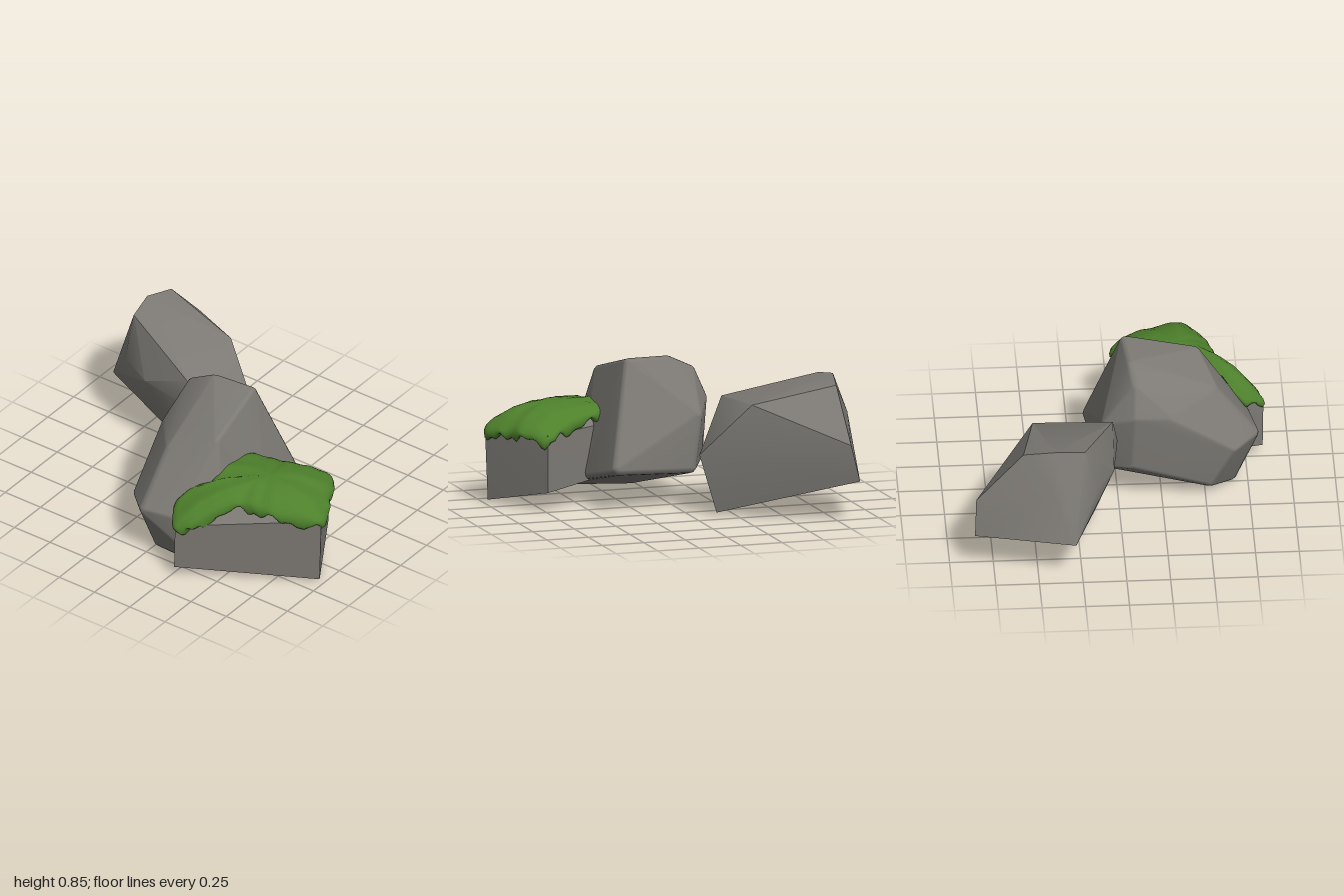
import * as THREE from 'three';
import { mergeVertices, toCreasedNormals } from 'three/addons/utils/BufferGeometryUtils.js';
import { ConvexGeometry } from 'three/addons/geometries/ConvexGeometry.js';

const stone = new THREE.MeshStandardMaterial({ color: 0x7d7a75 });
stone.name = 'stone grey';
const green = new THREE.MeshStandardMaterial({ color: 0x4e812c, side: THREE.DoubleSide });
green.name = 'moss green';

const toVectors = (list) => list.map((p) => new THREE.Vector3(...p));

// Convex boulder with crisp edges, smooth across gentle ones
function sharpRock(name, corners, crease) {
  const geometry = toCreasedNormals(new ConvexGeometry(toVectors(corners)), crease);
  const mesh = new THREE.Mesh(geometry, stone);
  mesh.name = name;
  return mesh;
}

// Convex boulder with worn edges: the hull of a small ball at each corner
function roundedRock(name, corners, radius) {
  const points = toVectors(corners);
  const centre = points.reduce((s, p) => s.add(p), new THREE.Vector3()).divideScalar(points.length);
  const ball = new THREE.IcosahedronGeometry(radius, 1).attributes.position;
  const cloud = [];
  for (const p of points) {
    const inset = centre.clone().sub(p).setLength(radius * 1.25).add(p);
    for (let i = 0; i < ball.count; i++) {
      cloud.push(new THREE.Vector3().fromBufferAttribute(ball, i).add(inset));
    }
  }
  let geometry = new ConvexGeometry(cloud);
  geometry.deleteAttribute('normal');
  geometry = mergeVertices(geometry, 1e-4);
  geometry.computeVertexNormals();
  const mesh = new THREE.Mesh(geometry, stone);
  mesh.name = name;
  return mesh;
}

// Moss blanket: rings from the middle out to an uneven rim that folds under
function mossBlanket() {
  const rim = new THREE.CatmullRomCurve3(toVectors([
    [-0.41, 0.42, 0.99], [-0.29, 0.42, 0.96], [-0.2, 0.44, 0.9], [-0.09, 0.44, 0.85], [0, 0.42, 0.74],
    [-0.06, 0.46, 0.63], [-0.16, 0.5, 0.46], [-0.21, 0.52, 0.34], [-0.4, 0.55, 0.3], [-0.6, 0.51, 0.32],
    [-0.68, 0.46, 0.22], [-0.76, 0.4, 0.2], [-0.86, 0.35, 0.28], [-0.83, 0.36, 0.36], [-0.76, 0.41, 0.43],
    [-0.61, 0.47, 0.56], [-0.58, 0.46, 0.68], [-0.53, 0.44, 0.83],
  ]), true);
  const around = 108;
  const outline = rim.getPoints(around).slice(0, around);
  const middle = new THREE.Vector3(-0.38, 0.56, 0.6);
  // [distance from the middle, drop below the rim]
  const rings = [[0.02, 0], [0.2, 0], [0.4, 0], [0.58, 0], [0.74, 0], [0.86, 0], [0.94, 0],
    [0.985, 0.005], [1, 0.02], [0.99, 0.04], [0.96, 0.055], [0.88, 0.06]];
  const positions = [];
  const index = [];
  rings.forEach(([t, drop], i) => {
    outline.forEach((p, j) => {
      const x = THREE.MathUtils.lerp(middle.x, p.x, t);
      const z = THREE.MathUtils.lerp(middle.z, p.z, t);
      const lump = 0.006 * Math.sin(x * 31 + z * 17) * Math.sin(z * 37 - x * 11) * Math.min(1, t * 2);
      const ragged = drop * (1 + 0.35 * Math.sin(j * 0.62) + 0.25 * Math.sin(j * 1.45));
      const wave = 1 + t * t * 0.008 * Math.sin(j * 0.9);
      const y = p.y + (middle.y - p.y) * (1 - t ** 2.6) + lump - ragged;
      positions.push(middle.x + (x - middle.x) * wave, y, Math.min(0.995, middle.z + (z - middle.z) * wave));
      if (i > 0) {
        const k = (j + 1) % around;
        const a = (i - 1) * around, b = i * around;
        index.push(a + j, b + j, b + k, a + j, b + k, a + k);
      }
    });
  });
  // Close the small hole in the middle
  const tip = positions.length / 3;
  positions.push(middle.x, middle.y, middle.z);
  for (let j = 0; j < around; j++) index.push(tip, j, (j + 1) % around);
  const geometry = new THREE.BufferGeometry();
  geometry.setAttribute('position', new THREE.Float32BufferAttribute(positions, 3));
  geometry.setIndex(index);
  geometry.computeVertexNormals();
  const mesh = new THREE.Mesh(geometry, green);
  mesh.name = 'mossBlanket';
  return mesh;
}

export function createModel() {
  const group = new THREE.Group();
  group.name = 'mossyRocks';

  // Low block at the front, under the moss
  group.add(sharpRock('frontRock', [
    [-0.4, 0, 0.97], [0, 0.1, 0.74], [-0.85, 0.05, 0.27], [-0.43, 0.14, 0.05],
    [-0.405, 0.41, 0.985], [-0.01, 0.43, 0.74], [-0.855, 0.34, 0.28], [-0.45, 0.42, 0.05],
    [-0.42, 0.45, 0.75], [-0.5, 0.48, 0.35], [-0.2, 0.47, 0.55],
  ], 0.5));

  // Worn leaning block in the middle
  group.add(roundedRock('middleRock', [
    [-0.47, 0.73, 0.3], [-0.04, 0.84, 0.25], [0.175, 0.23, 0.39], [-0.17, 0.14, 0.46],
    [-0.66, 0.02, 0.45], [-0.72, 0.02, 0.4], [-0.78, 0.3, 0.22], [-0.82, 0.3, 0.01],
    [-0.58, 0.63, 0.02], [-0.06, 0.84, -0.01], [-0.08, 0.77, -0.16], [-0.07, 0.6, -0.24],
    [0.1, 0.52, -0.15], [0.12, 0.2, -0.1], [-0.28, 0.58, -0.22], [-0.69, 0.28, -0.14],
    [-0.68, -0.01, 0.02], [-0.55, 0.04, -0.13], [-0.05, 0.24, -0.21],
  ], 0.04));

  // Angular boulder at the back
  group.add(sharpRock('backRock', [
    [0.36, 0.34, -0.05], [0.37, 0, -0.15], [0.85, 0.44, -0.8], [0.86, 0.23, -0.85],
    [0.5, 0.64, -0.32], [0.04, 0.61, -0.29], [0.58, 0.74, -0.8], [0.4, 0.775, -0.84],
    [0.23, 0.75, -0.81], [0.01, 0.45, -0.24], [0.14, 0.03, -0.31], [0.29, 0.24, -1],
    [0.05, 0.48, -0.6], [0.15, 0.5, -0.81], [0.42, 0.55, -0.92],
  ], 0.62));

  group.add(mossBlanket());
  return group;
}
